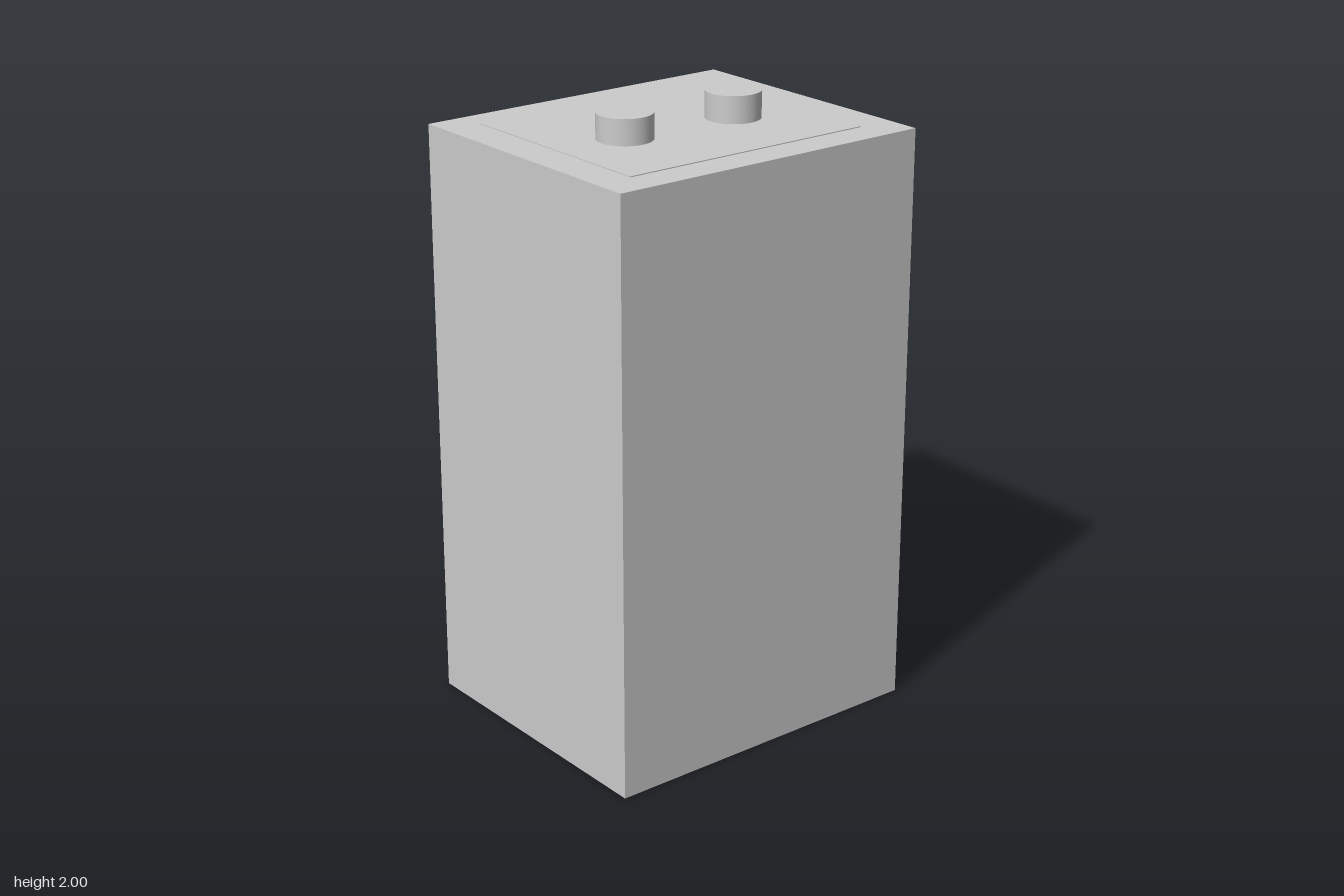
import * as THREE from 'three';

export function createModel() {
  const model = new THREE.Group();
  const material = new THREE.MeshStandardMaterial({ color: 0xcccccc });
  const bodyTop = 1.91;

  function add(name, geometry, x, y, z) {
    const mesh = new THREE.Mesh(geometry, material);
    mesh.name = name;
    mesh.position.set(x, y, z);
    model.add(mesh);
  }

  // Tall rectangular casing
  add('body', new THREE.BoxGeometry(1.125, bodyTop, 0.96), 0, bodyTop / 2, 0);

  // Thin plate, almost flush with the top
  add('topPanel', new THREE.BoxGeometry(0.88, 0.02, 0.746), -0.001, bodyTop - 0.007, -0.005);

  // Two round terminals, slightly sunk into the panel
  const terminals = [
    ['rightTerminal', -0.205, 1.995, 0.036],
    ['leftTerminal', 0.209, 2, 0.042],
  ];
  for (const [name, x, top, z] of terminals) {
    const height = top - bodyTop + 0.01;
    add(name, new THREE.CylinderGeometry(0.088, 0.088, height, 48), x, top - height / 2, z);
  }

  return model;
}
